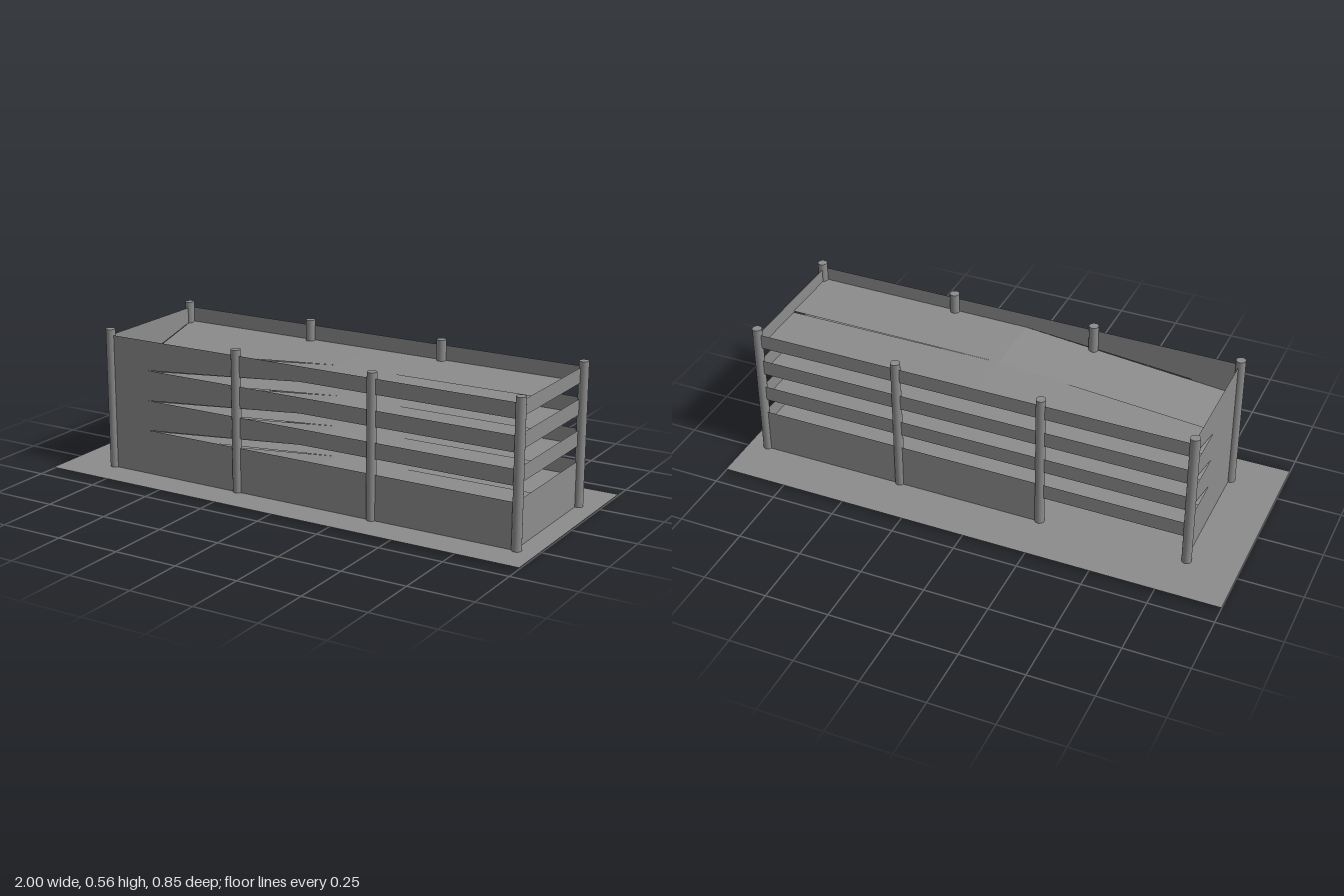
import * as THREE from 'three';

const X0 = -0.801, X1 = 0.917, Z0 = -0.238, Z1 = 0.291; // wall planes
const BASE = 0.005, TOP = 0.534;
const MX = 0.05, MZ = 0.03;               // where the deck quarters meet
const STEP = 0.119, RAIL = 0.0605;        // storey height, parapet height
const RAMP_DROP = 0.078, CORNER_DROP = 0.068, RISE = 0.005;

const mat = new THREE.MeshStandardMaterial({ color: 0x8c8c8c, side: THREE.DoubleSide });

function add(parent, geometry, name) {
  const mesh = new THREE.Mesh(geometry, mat);
  mesh.name = name;
  parent.add(mesh);
  return mesh;
}

const path = (pts, Type) => new Type(pts.map(([x, y]) => new THREE.Vector2(x, y)));

// Flat wall with one opening per storey; opening(b, t) gives the corners
function wall(outline, opening) {
  const shape = path(outline, THREE.Shape);
  for (let i = 1; i <= 3; i++) {
    shape.holes.push(path(opening(i * STEP + RAIL, (i + 1) * STEP), THREE.Path));
  }
  return new THREE.ShapeGeometry(shape);
}

const rect = (a, b, c, d) => [[a, b], [c, b], [c, d], [a, d]];

// Sheet blended between four corner heights, evenly shaded with its mean normal
function deckQuarter(x0, x1, z0, z1, [h00, h10, h01, h11], n = 1) {
  const g = new THREE.PlaneGeometry(1, 1, n, n);
  const { position, normal } = g.attributes;
  const mean = new THREE.Vector3(
    (h00 + h01 - h10 - h11) / (2 * (x1 - x0)), 1,
    (h00 + h10 - h01 - h11) / (2 * (z1 - z0))).normalize();
  for (let i = 0; i < position.count; i++) {
    const u = position.getX(i) + 0.5, v = 0.5 - position.getY(i);
    const h = (h00 * (1 - u) + h10 * u) * (1 - v) + (h01 * (1 - u) + h11 * u) * v;
    position.setXYZ(i, x0 + (x1 - x0) * u, h, z0 + (z1 - z0) * v);
    normal.setXYZ(i, mean.x, mean.y, mean.z);
  }
  return g;
}

export function createModel() {
  const model = new THREE.Group();
  model.name = 'parkingGarage';

  // Ground sheet
  const ground = add(model, new THREE.PlaneGeometry(2, 0.85), 'ground');
  ground.rotation.x = -Math.PI / 2;
  ground.position.y = BASE;

  // Walls
  const walls = new THREE.Group();
  walls.name = 'walls';
  model.add(walls);

  // Front: openings taper along the ramp
  const front = add(walls, wall(rect(X0, BASE, X1, TOP), (b, t) =>
    [[-0.63, b], [X1 - 0.005, b], [X1 - 0.005, t], [MX, t]]), 'frontWall');
  front.position.z = Z1;

  // Back: full openings, with an entrance at one end
  const back = add(walls, wall(
    [[X0, STEP], [-0.23, STEP], [-0.23, BASE], [X1, BASE], [X1, TOP], [X0, TOP]],
    (b, t) => rect(X0 + 0.005, b, X1 - 0.005, t)), 'backWall');
  back.position.z = Z0;

  // Side walls are drawn in (-z, y) and turned to face +x
  const left = add(walls, wall(rect(-Z1, BASE, -Z0, TOP), (b, t) =>
    rect(-Z1 + 0.005, b, -Z0 - 0.005, t)), 'leftWall');
  left.rotation.y = Math.PI / 2;
  left.position.x = X1;

  const right = add(walls, wall(rect(-Z1, BASE, -Z0, TOP), (b, t) =>
    [[0, b], [-Z0 - 0.005, b], [-Z0 - 0.005, t]]), 'rightWall');
  right.rotation.y = Math.PI / 2;
  right.position.x = X0;

  // Parking decks: two long quarters, a ramp and a twisted corner
  for (let i = 1; i <= 4; i++) {
    const h = i * STEP;
    const deck = new THREE.Group();
    deck.name = `deck${i}`;
    add(deck, deckQuarter(MX, X1, Z0, MZ, [h, h, h, h]), 'backDeck');
    add(deck, deckQuarter(MX, X1, MZ, Z1, [h, h + RISE, h, h + RISE]), 'frontDeck');
    add(deck, deckQuarter(X0, MX, MZ, Z1, [h - RAMP_DROP, h, h - RAMP_DROP, h]), 'ramp');
    add(deck, deckQuarter(X0, MX, Z0, MZ, [h, h, h - CORNER_DROP, h], 12), 'turningCorner');
    model.add(deck);
  }

  // Round posts along both long sides
  const postGeometry = new THREE.CylinderGeometry(0.0185, 0.0185, 0.557, 24);
  for (const z of [Z1 - 0.005, Z0 + 0.006]) {
    for (let i = 0; i < 4; i++) {
      add(model, postGeometry, 'post').position.set(-0.805 + i * 0.576, 0.2785, z);
    }
  }
  return model;
}
